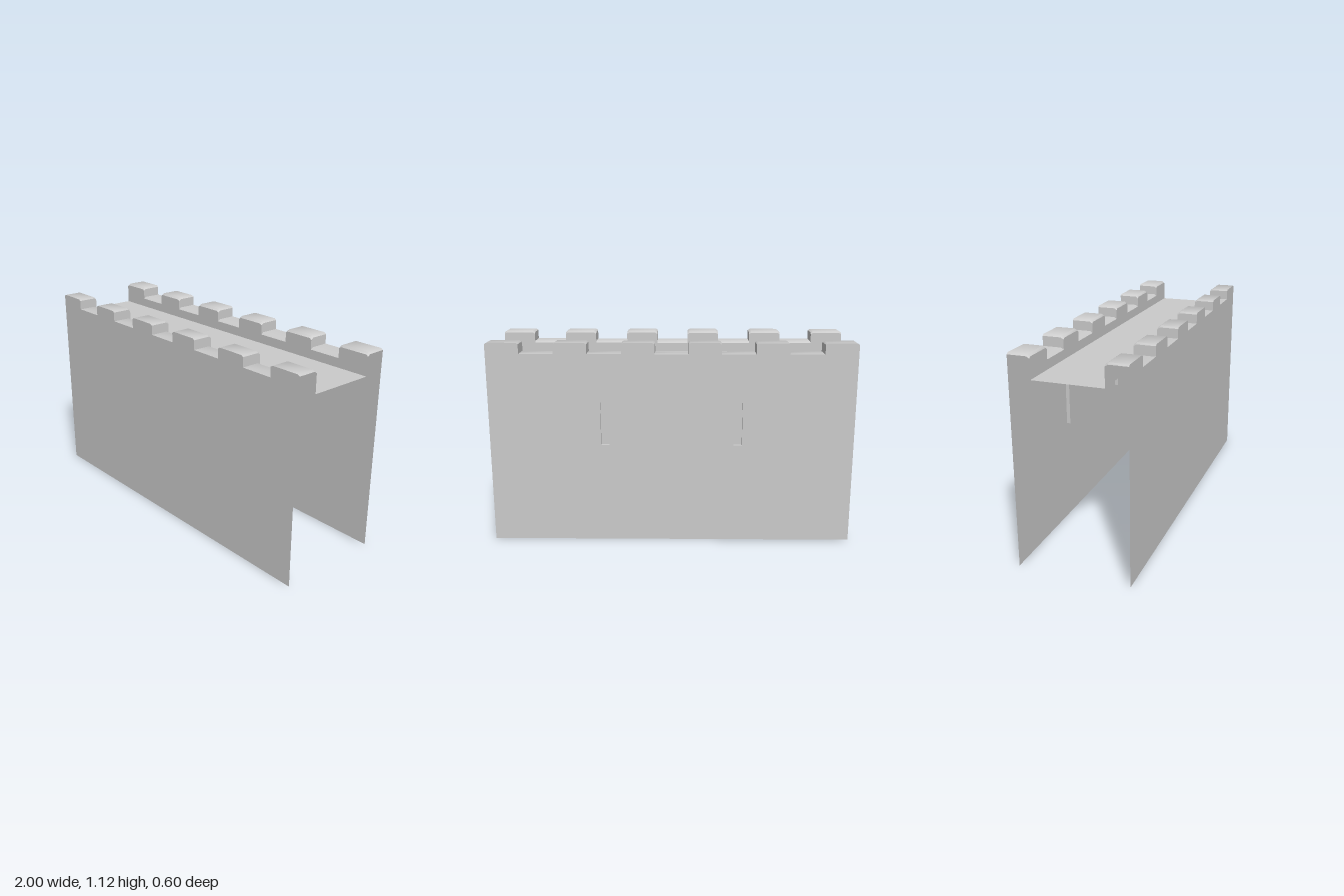
import * as THREE from 'three';
import { toCreasedNormals } from 'three/addons/utils/BufferGeometryUtils.js';

const material = new THREE.MeshStandardMaterial({ color: 0xcccccc, side: THREE.DoubleSide });

const TOP = 1.12, GAP = 1.06, DECK = 1.0;   // merlon top, crenel floor, walkway
const OUTER = 0.3, INNER = 0.185;           // parapet faces
const DROP = 0.01;                          // slope at the parapet's inner edge
const SLIT = { x: 0.365, w: 0.045, y0: 0.555, y1: 0.795, depth: 0.02 };

// Battlement line from left to right; merlon corners are slightly bevelled
function battlementLine() {
  const merlons = [[-1, -0.82], [-0.635, -0.455], [-0.27, -0.09],
    [0.09, 0.27], [0.455, 0.635], [0.82, 1]];
  const points = [];
  for (const [a, b] of merlons) {
    if (a > -1) points.push([a, GAP]);
    points.push([a, TOP - 0.008], [a + 0.012, TOP], [b - 0.012, TOP], [b, TOP - 0.008]);
    if (b < 1) points.push([b, GAP]);
  }
  return points;
}

function addMesh(group, name, geometry) {
  const mesh = new THREE.Mesh(geometry, material);
  mesh.name = name;
  group.add(mesh);
  return mesh;
}

// Flat sheet from a base height up to the battlement line
function sheet(line, base, drop, withSlits) {
  const shape = new THREE.Shape();
  shape.moveTo(-1, base).lineTo(1, base);
  for (const [x, y] of [...line].reverse()) shape.lineTo(x, y - drop);
  shape.closePath();
  if (withSlits) for (const s of [-1, 1]) {
    const l = s * SLIT.x - SLIT.w / 2, r = l + SLIT.w;
    const hole = new THREE.Path();
    hole.moveTo(l, SLIT.y0).lineTo(l, SLIT.y1).lineTo(r, SLIT.y1).lineTo(r, SLIT.y0).closePath();
    shape.holes.push(hole);
  }
  return new THREE.ShapeGeometry(shape);
}

// Battlement line carried across the parapet's thickness
function battlementTop(line) {
  const stations = [[OUTER, 0], [0.2, 0], [INNER, DROP]];
  const pos = [], index = [], n = line.length;
  for (const [z, drop] of stations) for (const [x, y] of line) pos.push(x, y - drop, z);
  for (let j = 0; j < stations.length - 1; j++) {
    for (let i = 0; i < n - 1; i++) {
      const a = j * n + i, b = a + 1, c = b + n, d = a + n;
      index.push(a, b, c, a, c, d);
    }
  }
  const geometry = new THREE.BufferGeometry();
  geometry.setAttribute('position', new THREE.Float32BufferAttribute(pos, 3));
  geometry.setIndex(index);
  return toCreasedNormals(geometry, 0.8);
}

// One outer wall with its parapet, built facing +z
function wall(name, withSlits) {
  const group = new THREE.Group();
  group.name = name;
  const line = battlementLine();
  addMesh(group, 'outerWall', sheet(line, 0, 0, withSlits)).position.z = OUTER;
  addMesh(group, 'battlements', battlementTop(line));
  const inner = addMesh(group, 'parapetInnerFace', sheet(line, DECK, DROP, false));
  inner.rotation.y = Math.PI;
  inner.position.z = INNER;

  // Shallow recesses, open to the outside
  if (withSlits) for (const s of [-1, 1]) {
    const box = new THREE.BoxGeometry(SLIT.w, SLIT.y1 - SLIT.y0, SLIT.depth);
    const kept = Array.from(box.index.array);
    kept.splice(24, 6);
    // Reverse the corners so the faces look into the recess
    box.setIndex(kept.reverse());
    box.clearGroups();
    box.deleteAttribute('normal');
    const recess = box.toNonIndexed();
    recess.computeVertexNormals();
    addMesh(group, 'arrowSlit', recess)
      .position.set(s * SLIT.x, (SLIT.y0 + SLIT.y1) / 2, OUTER - SLIT.depth / 2);
  }
  return group;
}

export function createModel() {
  const model = new THREE.Group();
  model.name = 'castleWall';
  model.add(wall('frontWall', false));
  const back = wall('backWall', true);
  back.rotation.y = Math.PI;
  model.add(back);

  // Walkway between the parapets
  const deck = addMesh(model, 'walkway', new THREE.PlaneGeometry(2, 2 * INNER));
  deck.rotation.x = -Math.PI / 2;
  deck.position.y = DECK;
  return model;
}
